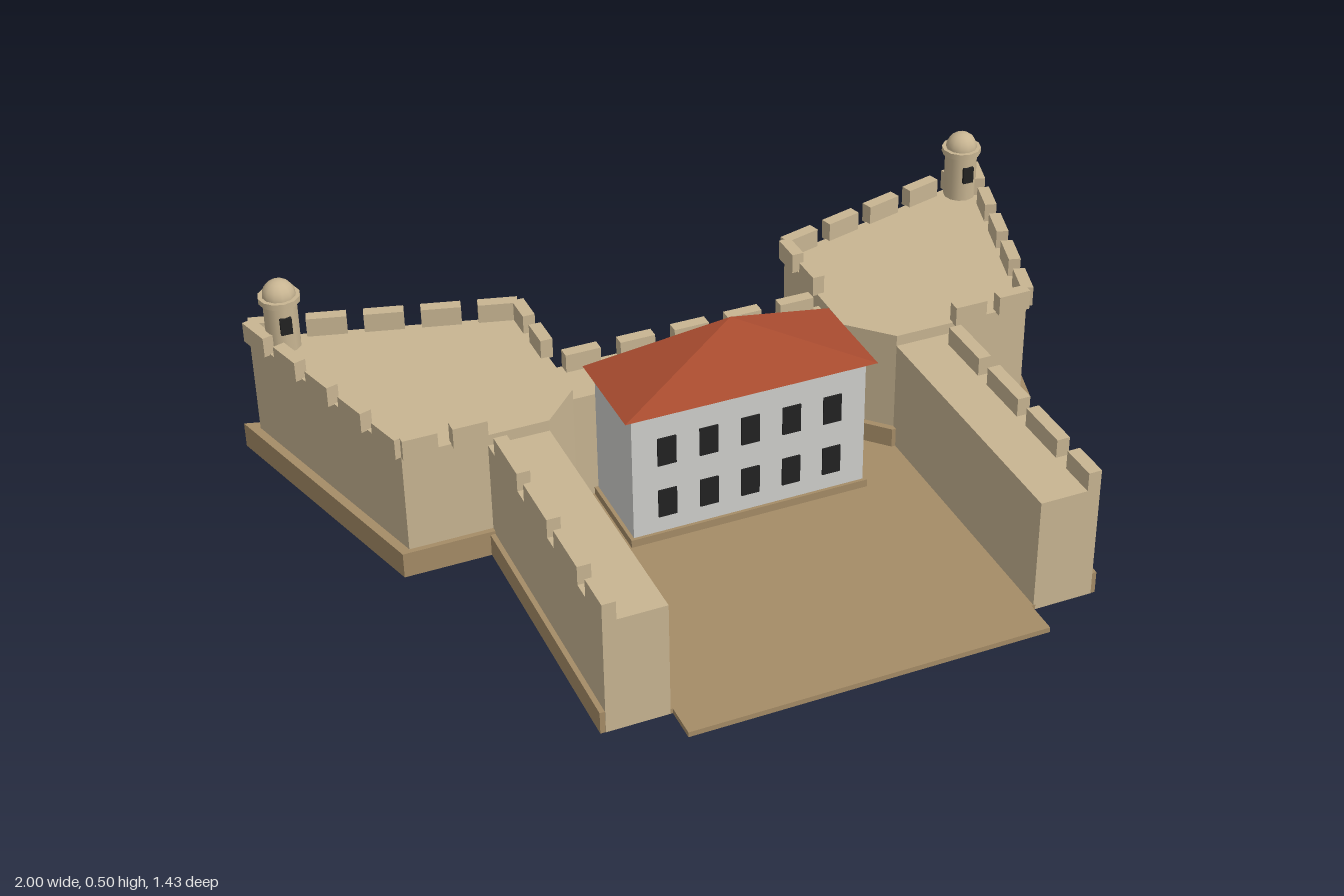
import * as THREE from 'three';

const mat = (name, color) => Object.assign(new THREE.MeshStandardMaterial({ color }), { name });

export function createModel() {
  const stone = mat('sandstone', 0xc8b592);
  const earth = mat('brown stone', 0xa58c67);
  const roofTile = mat('roof tile', 0xa84b2f);
  const plaster = mat('pale plaster', 0xd0d0cc);
  const dark = mat('dark opening', 0x222222);

  const fort = new THREE.Group();
  fort.name = 'fort';

  const add = (name, geometry, material, parent = fort) => {
    const mesh = new THREE.Mesh(geometry, material);
    mesh.name = name;
    parent.add(mesh);
    return mesh;
  };

  // Box given by its limits on each axis
  const block = (name, x0, x1, y0, y1, z0, z1, material, parent = fort) => {
    const mesh = add(name, new THREE.BoxGeometry(Math.abs(x1 - x0), y1 - y0, z1 - z0), material, parent);
    mesh.position.set((x0 + x1) / 2, (y0 + y1) / 2, (z0 + z1) / 2);
    return mesh;
  };

  // Upright prism over an outline of [x, z] points
  const prism = (name, outline, y0, y1, material, parent) => {
    const shape = new THREE.Shape(outline.map(([x, z]) => new THREE.Vector2(x, -z)));
    const geometry = new THREE.ExtrudeGeometry(shape, { depth: y1 - y0, bevelEnabled: false });
    geometry.rotateX(-Math.PI / 2).translate(0, y0, 0);
    return add(name, geometry, material, parent);
  };

  // Merlons spread evenly from corner a to corner b
  const merlonRow = (a, b, count, gap, y0, y1, parent) => {
    const dx = b[0] - a[0], dz = b[1] - a[1];
    const length = Math.hypot(dx, dz);
    const size = (length - gap * (count - 1)) / count;
    for (let i = 0; i < count; i++) {
      const t = (i * (size + gap) + size / 2) / length;
      const merlon = add('merlon', new THREE.BoxGeometry(size, y1 - y0, 0.03), stone, parent);
      merlon.position.set(a[0] + dx * t, (y0 + y1) / 2, a[1] + dz * t);
      merlon.rotation.y = Math.atan2(-dz, dx);
    }
  };

  // Courtyard
  prism('courtyard', [[-0.435, 0.715], [0.435, 0.715], [0.435, 0.63], [0.445, 0.63], [0.445, -0.07],
    [0.34, -0.17], [-0.34, -0.17], [-0.445, -0.07], [-0.445, 0.63], [-0.435, 0.63]], 0.002, 0.015, earth, fort);

  // Rear curtain wall
  block('curtainPlinth', -0.36, 0.36, 0.001, 0.057, -0.32, -0.18, earth);
  block('curtainWall', -0.36, 0.36, 0.015, 0.295, -0.31, -0.168, stone);
  merlonRow([-0.32, -0.295], [0.32, -0.295], 5, 0.05, 0.29, 0.342, fort);

  for (const s of [-1, 1]) {
    const side = new THREE.Group();
    side.name = s > 0 ? 'leftWing' : 'rightWing';
    fort.add(side);
    const flip = (points) => points.map(([x, z]) => [s * x, z]);

    // Side wall with merlons along its outer edge
    block('sideWallPlinth', s * 0.45, s * 0.6, 0.001, 0.057, -0.1, 0.628, earth, side);
    block('sideWall', s * 0.44, s * 0.588, 0.002, 0.295, -0.1, 0.63, stone, side);
    for (const [z0, z1] of [[0.535, 0.63], [0.35, 0.49], [0.165, 0.31], [-0.027, 0.123]]) {
      block('merlon', s * 0.556, s * 0.588, 0.29, 0.342, z0, z1, stone, side);
    }

    // Pointed corner bastion
    prism('bastionPlinth', flip([[0.338, -0.535], [1, -0.72], [0.81, -0.057], [0.43, -0.057], [0.338, -0.155]]),
      0, 0.065, earth, side);
    const body = flip([[0.352, -0.518], [0.968, -0.685], [0.79, -0.07], [0.44, -0.07], [0.346, -0.168]]);
    prism('bastionBody', body, 0.065, 0.323, stone, side);
    const [inner, tip, shoulder] = body;
    merlonRow(inner, tip, 5, 0.04, 0.32, 0.371, side);
    merlonRow(tip, shoulder, 5, 0.045, 0.32, 0.371, side);
    merlonRow(shoulder, [s * 0.59, -0.07], 2, 0.035, 0.32, 0.371, side);
    merlonRow([s * 0.352, -0.32], inner, 2, 0.04, 0.32, 0.371, side);

    // Domed sentry turret
    const turret = new THREE.Group();
    turret.name = 'sentryTurret';
    turret.position.set(s * 0.9, 0.32, -0.625);
    side.add(turret);
    add('turretBody', new THREE.CylinderGeometry(0.041, 0.041, 0.13, 12), stone, turret).position.y = 0.065;
    add('turretCornice', new THREE.CylinderGeometry(0.05, 0.05, 0.015, 12), stone, turret).position.y = 0.133;
    add('turretDome', new THREE.SphereGeometry(0.04, 12, 6, 0, Math.PI * 2, 0, Math.PI / 2), stone, turret)
      .position.y = 0.14;
    for (const face of [-1, 1]) {
      const slit = add('turretOpening', new THREE.BoxGeometry(0.028, 0.043, 0.008), dark, turret);
      slit.position.set(0, 0.077, face * 0.042);
    }
  }

  // Main house
  const house = new THREE.Group();
  house.name = 'house';
  fort.add(house);
  block('houseBase', -0.302, 0.302, 0.01, 0.035, -0.166, 0.068, earth, house);
  block('houseWalls', -0.293, 0.293, 0.035, 0.37, -0.164, 0.06, plaster, house);
  for (let column = -2; column <= 2; column++) {
    for (const y of [0.115, 0.258]) {
      const x = column * 0.104;
      block('window', x - 0.023, x + 0.023, y - 0.037, y + 0.037, 0.057, 0.064, dark, house);
    }
  }

  // Four-sided roof rising to a point
  const roofGeometry = new THREE.ConeGeometry(Math.SQRT1_2, 0.13, 4, 1).toNonIndexed();
  roofGeometry.rotateY(Math.PI / 4).scale(0.628, 1, 0.264);
  roofGeometry.computeVertexNormals();
  add('roof', roofGeometry, roofTile, house).position.set(0, 0.433, -0.052);

  return fort;
}
